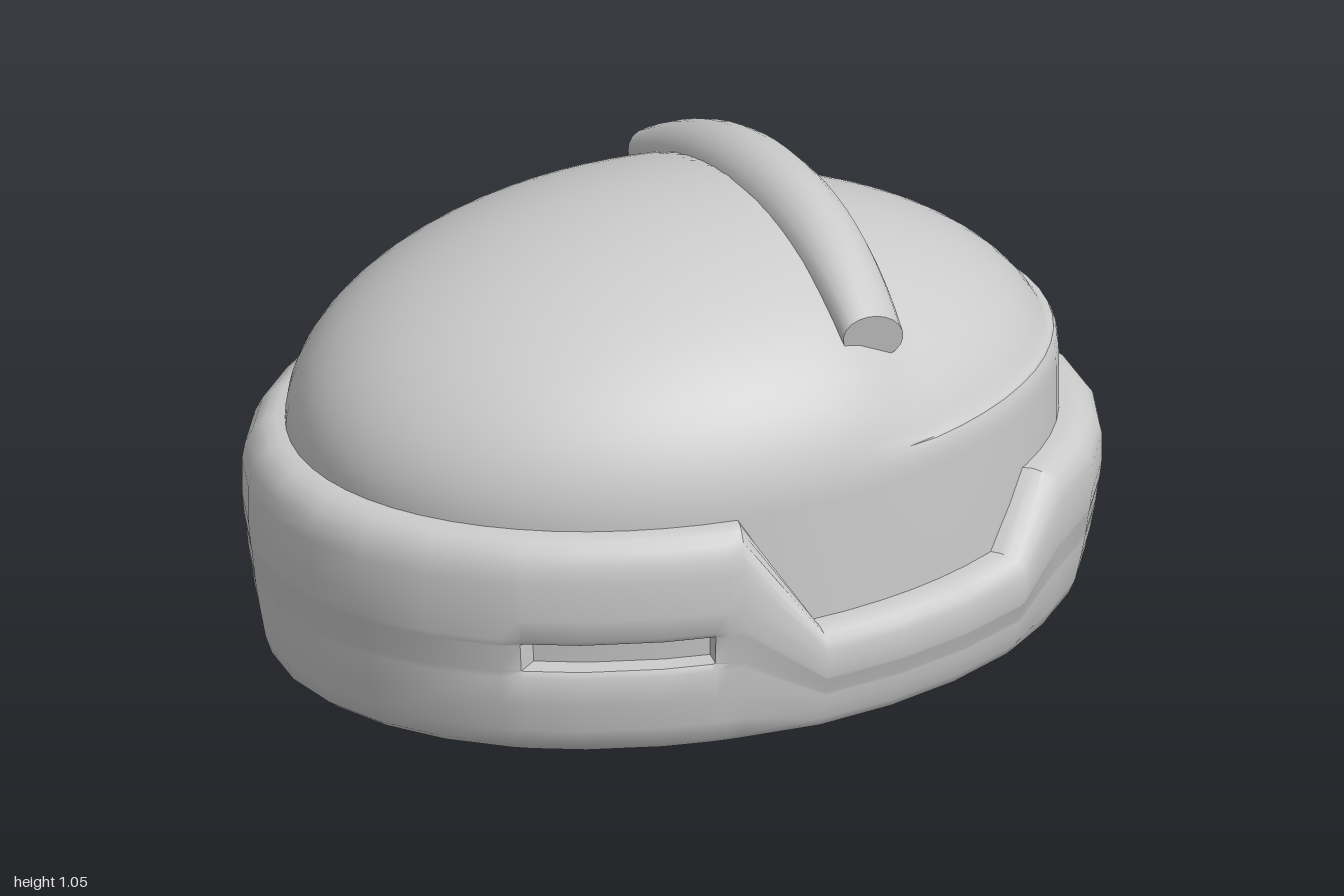
import * as THREE from 'three';
import { toCreasedNormals } from 'three/addons/utils/BufferGeometryUtils.js';

const DEPTH = 0.755; // z radius for an x radius of 1
const { lerp, smoothstep } = THREE.MathUtils;

// Skin closed rings: point(row, column) gives [x, y, z]
function loft(rows, cols, point, crease) {
  const pos = [], index = [];
  for (let r = 0; r < rows; r++)
    for (let c = 0; c < cols; c++) pos.push(...point(r, c));
  for (let r = 0; r < rows - 1; r++)
    for (let c = 0; c < cols; c++) {
      const d = (c + 1) % cols;
      const a = r * cols + c, b = r * cols + d, u = a + cols, w = b + cols;
      index.push(a, u, b, b, u, w);
    }
  const geo = new THREE.BufferGeometry();
  geo.setAttribute('position', new THREE.Float32BufferAttribute(pos, 3));
  geo.setIndex(index);
  return toCreasedNormals(geo, crease);
}

// Piecewise linear lookup in [[x, y], ...]
function lookup(table, x) {
  if (x <= table[0][0]) return table[0][1];
  for (let i = 1; i < table.length; i++) {
    const [x0, y0] = table[i - 1], [x1, y1] = table[i];
    if (x <= x1) return lerp(y0, y1, (x - x0) / (x1 - x0));
  }
  return table[table.length - 1][1];
}

// Bumper: oval band with stepped upper edge and a slot in each flank
function bumperGeometry() {
  const edge = [[-0.2, 0.54], [0, 0.26], [0.56, 0.26], [0.69, 0.41]];
  // [radius scale, fraction of the local height]
  const profile = [
    [0, 0], [0.89, 0], [0.92, 0.015], [0.945, 0.05], [0.96, 0.13], [0.972, 0.25], [0.983, 0.38],
    [0.984, 0.408], [0.985, 0.413], [0.992, 0.533], [0.993, 0.538], [0.995, 0.565],
    [1, 0.66], [1, 0.82], [0.993, 0.89], [0.975, 0.95], [0.95, 0.985], [0.925, 1], [0.88, 1]
  ];
  const slot = [-0.71, -0.675, -0.668, -0.272, -0.265, -0.235];
  // Even columns plus extra ones at the kinks and slot ends
  const extra = [...edge.map(e => e[0]), ...slot].map(Math.acos);
  const angles = [];
  for (let i = 0; i < 32; i++) {
    const a = (i / 32) * Math.PI * 2;
    const near = extra.some(e => Math.min(Math.abs(e - a), Math.abs(Math.PI * 2 - e - a)) < 0.02);
    if (!near) angles.push(a);
  }
  extra.forEach(e => angles.push(e, Math.PI * 2 - e));
  angles.sort((a, b) => a - b);

  return loft(profile.length, angles.length, (r, c) => {
    const [scale, v] = profile[r];
    const cx = Math.cos(angles[c]), sz = Math.sin(angles[c]);
    const inX = cx > -0.669 && cx < -0.271;
    const inSlot = inX && v > 0.41 && v < 0.535;
    // softened lip around the slot
    const lip = cx > -0.676 && cx < -0.264 && v > 0.4 && v < 0.55;
    const s = scale - (inSlot ? 0.07 : lip ? 0.012 : 0);
    return [s * cx, v * lookup(edge, cx), s * sz * DEPTH];
  }, 0.75);
}

// Dome: upright wall, then a half ellipsoid that is lower ahead of the handle
function domeGeometry() {
  const cols = 64, capRows = 28;
  return loft(capRows + 2, cols, (r, c) => {
    const a = (c / cols) * Math.PI * 2;
    const p = r === 0 ? 0 : ((r - 1) / capRows) * Math.PI / 2;
    const s = 0.9 * Math.cos(p);
    const x = s * Math.cos(a), z = s * Math.sin(a) * DEPTH;
    let y = r === 0 ? 0.15 : 0.54 + 0.46 * Math.sin(p);
    const lowered = Math.max(Math.min(y, 0.605), y - 0.05);
    y = lerp(y, lowered, smoothstep(x, 0.16, 0.34));
    return [x, y, z];
  }, 0.9);
}

// Handle: bowed bar lying across the dome, with flat ends
function handleGeometry() {
  const steps = 20, cols = 20;
  return loft(steps + 3, cols, (r, c) => {
    const k = THREE.MathUtils.clamp(r - 1, 0, steps);
    const t = 1 - (2 * k) / steps, bow = Math.abs(t) ** 2.2;
    const closed = r === 0 || r === steps + 2 ? 0 : 1;
    const a = (c / cols) * Math.PI * 2, tilt = 0.25 * t;
    const u = closed * lerp(0.09, 0.077, bow) * Math.cos(a);
    const h = closed * lerp(0.09, 0.062, bow) * Math.sin(a);
    return [
      lerp(0.26, 0.236, bow) + u,
      0.96 - 0.13 * bow + h * Math.cos(tilt) - 0.25 * u * bow,
      0.515 * t + h * Math.sin(tilt) - 0.06 * u * t
    ];
  }, 0.8);
}

export function createModel() {
  const group = new THREE.Group();
  const material = new THREE.MeshStandardMaterial({ color: 0xcccccc });
  const parts = { bumper: bumperGeometry(), dome: domeGeometry(), handle: handleGeometry() };
  for (const [name, geometry] of Object.entries(parts)) {
    const mesh = new THREE.Mesh(geometry, material);
    mesh.name = name;
    group.add(mesh);
  }
  return group;
}
